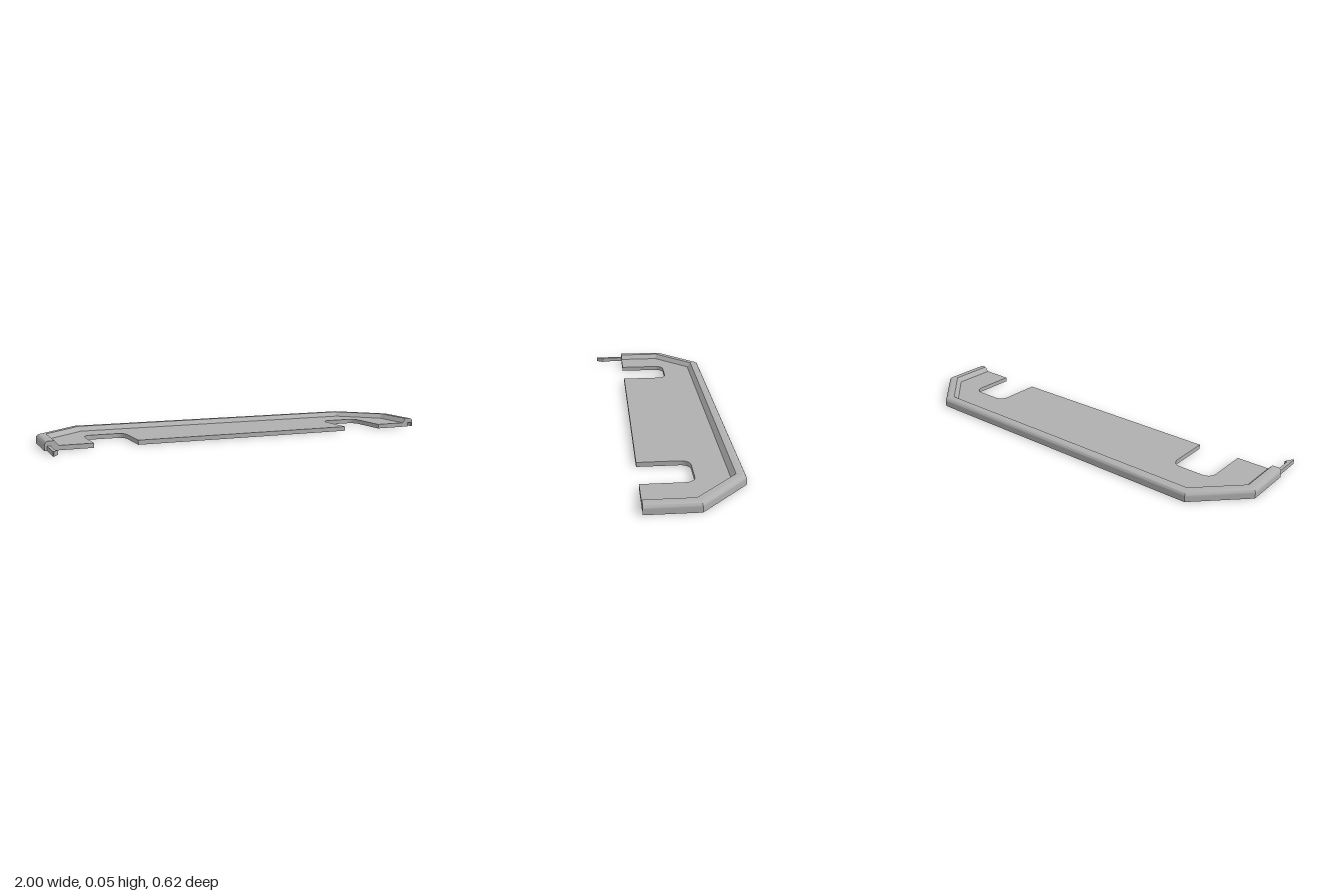
import * as THREE from 'three';
import { toCreasedNormals } from 'three/addons/utils/BufferGeometryUtils.js';

const FRONT = 0.153;      // z of the straight front edge
const BASE = 0.022;       // thickness of the floor plate
const TOP = 0.045;        // height of the rim
const OUTLINE = [[-1, FRONT], [-1, -0.088], [-0.78, -0.308], [0.78, -0.308], [1, -0.088], [1, FRONT]];

// Extrude a plan drawn as (x, -z) upward from y = 0
function slab(shape) {
  const g = new THREE.ExtrudeGeometry(shape, { depth: BASE, bevelEnabled: false, curveSegments: 8 });
  g.rotateX(-Math.PI / 2);
  return toCreasedNormals(g, 0.6);
}

// Floor plan with two rounded notches and the latch slot
function plateShape() {
  const s = new THREE.Shape();
  const r = 0.045, depth = 0.09, half = Math.PI / 2;
  s.moveTo(-1, -FRONT);
  for (const [a, b] of [[-0.777, -0.567], [0.567, 0.777]]) {
    s.lineTo(a, -FRONT);
    s.lineTo(a, depth - r);
    s.absarc(a + r, depth - r, r, Math.PI, half, true);
    s.absarc(b - r, depth - r, r, half, 0, true);
    s.lineTo(b, -FRONT);
  }
  for (const [x, z] of [[0.968, FRONT], [0.968, 0.044], [0.956, 0.044], [0.982, -0.004],
    [0.992, -0.004], [0.992, FRONT], ...OUTLINE.slice(1, 5).reverse()]) {
    if (x === 1 && z < 0) s.lineTo(1, -FRONT);
    s.lineTo(x, -z);
  }
  s.lineTo(-1, -FRONT);
  return s;
}

// Outline moved inward by d with mitred corners
function inset(d) {
  const normals = OUTLINE.slice(1).map(([x, z], i) => {
    const dx = x - OUTLINE[i][0], dz = z - OUTLINE[i][1], l = Math.hypot(dx, dz);
    return [-dz / l, dx / l];
  });
  return OUTLINE.map(([x, z], i) => {
    const n = normals[Math.max(i - 1, 0)], m = normals[Math.min(i, normals.length - 1)];
    const k = d / (1 + n[0] * m[0] + n[1] * m[1]);
    return [x + (n[0] + m[0]) * k, z + (n[1] + m[1]) * k];
  });
}

// Rim: a section with rounded outer edge and sloped inner face, swept round the outline
function rimGeometry() {
  const r = 0.02, section = [[0, BASE]];
  for (let i = 0; i <= 8; i++) {
    const a = (i / 8) * Math.PI / 2;
    section.push([r - r * Math.cos(a), TOP - r + r * Math.sin(a)]);
  }
  section.push([0.045, TOP], [0.065, BASE]);
  const n = section.length, last = OUTLINE.length - 1;
  const rails = section.map(([d, y]) => inset(d).map(([x, z]) => [x, y, z]));
  const pos = [];
  const tri = (...pts) => pts.forEach((p) => pos.push(...p));
  for (let j = 0; j < n; j++) {
    const p = rails[j], q = rails[(j + 1) % n];
    for (let i = 0; i < last; i++) {
      tri(p[i], q[i], p[i + 1]);
      tri(q[i], q[i + 1], p[i + 1]);
    }
  }
  // End caps
  for (let j = 1; j < n - 1; j++) {
    tri(rails[0][0], rails[j + 1][0], rails[j][0]);
    tri(rails[0][last], rails[j][last], rails[j + 1][last]);
  }
  const g = new THREE.BufferGeometry();
  g.setAttribute('position', new THREE.Float32BufferAttribute(pos, 3));
  return toCreasedNormals(g, 0.5);
}

export function createModel() {
  const group = new THREE.Group();
  group.name = 'tray';
  const grey = new THREE.MeshStandardMaterial({ color: 0xb0b0b0 });
  grey.name = 'grey';
  const add = (name, geometry) => {
    const mesh = new THREE.Mesh(geometry, grey);
    mesh.name = name;
    group.add(mesh);
  };

  add('floorPlate', slab(plateShape()));
  add('rim', rimGeometry());

  // Barbed latch arm that reaches forward from the right end
  const latch = [[-0.989, FRONT], [-0.989, 0.308], [-0.985, 0.308], [-0.961, 0.266], [-0.973, 0.266], [-0.973, FRONT]];
  add('latchArm', slab(new THREE.Shape(latch.map(([x, z]) => new THREE.Vector2(x, -z)))));
  return group;
}
